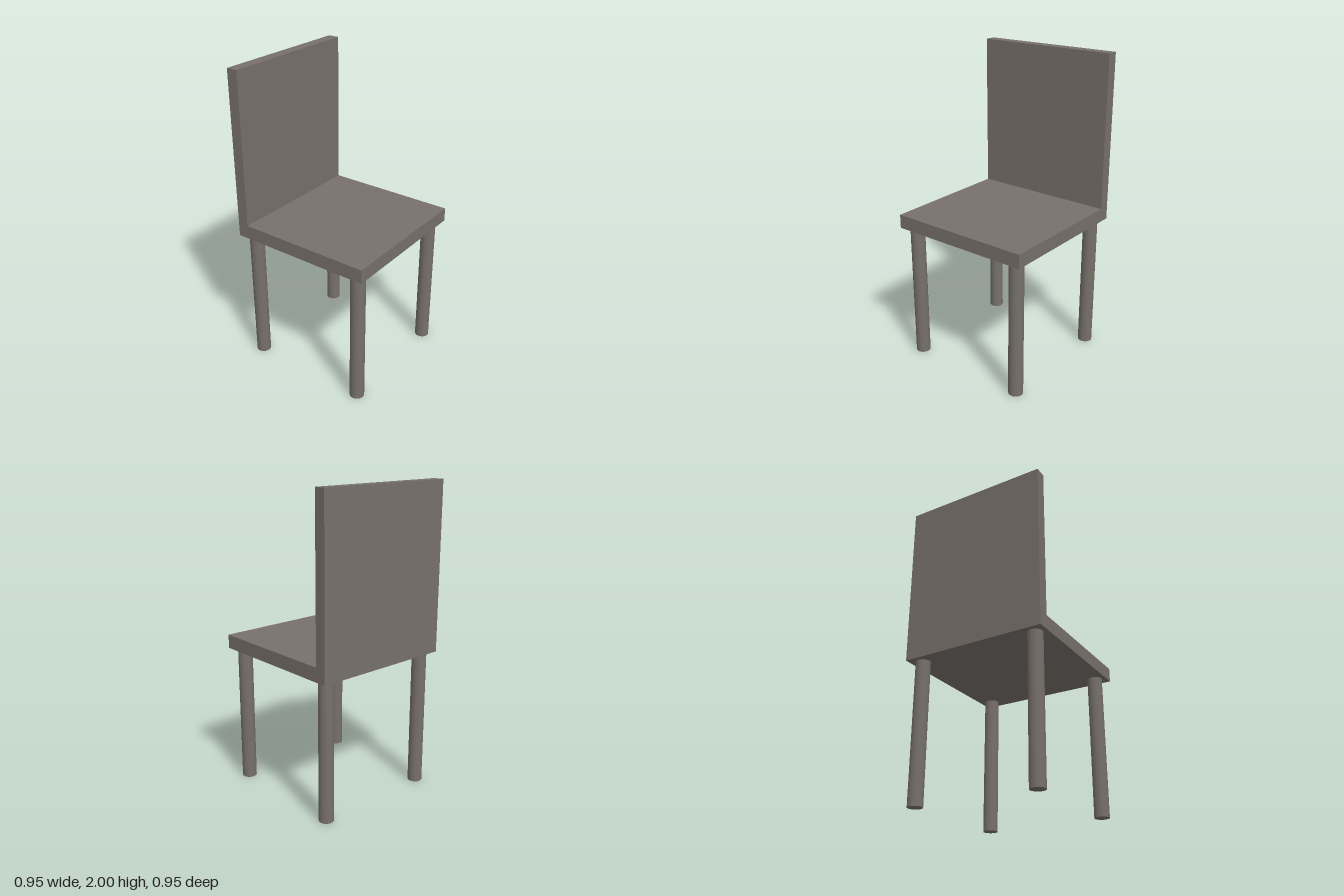
import * as THREE from 'three';

export function createModel() {
  const model = new THREE.Group();
  model.name = 'chair';
  const material = new THREE.MeshStandardMaterial({ color: 0x77706a });

  const half = 0.476; // half the width and depth
  const seatBottom = 0.91, seatTop = 1.0, backTop = 2.0;
  const backFront = -0.402;

  // Seat and backrest: one L-shaped side profile, drawn as (-z, y), extruded across the width
  const profile = new THREE.Shape([
    [-half, seatBottom], [half, seatBottom], [half, backTop],
    [-backFront, backTop], [-backFront, seatTop], [-half, seatTop],
  ].map(([x, y]) => new THREE.Vector2(x, y)));
  const shell = new THREE.ExtrudeGeometry(profile, { depth: 2 * half, bevelEnabled: false });
  shell.translate(0, 0, -half).rotateY(Math.PI / 2);
  const seat = new THREE.Mesh(shell, material);
  seat.name = 'seatAndBackrest';
  model.add(seat);

  // Four round legs
  const legGeometry = new THREE.CylinderGeometry(0.047, 0.047, seatBottom, 32);
  for (const [depthName, z] of [['front', 0.4], ['back', -0.4]]) {
    for (const [sideName, x] of [['Left', 0.4], ['Right', -0.4]]) {
      const leg = new THREE.Mesh(legGeometry, material);
      leg.name = `${depthName}${sideName}Leg`;
      leg.position.set(x, seatBottom / 2, z);
      model.add(leg);
    }
  }
  return model;
}
